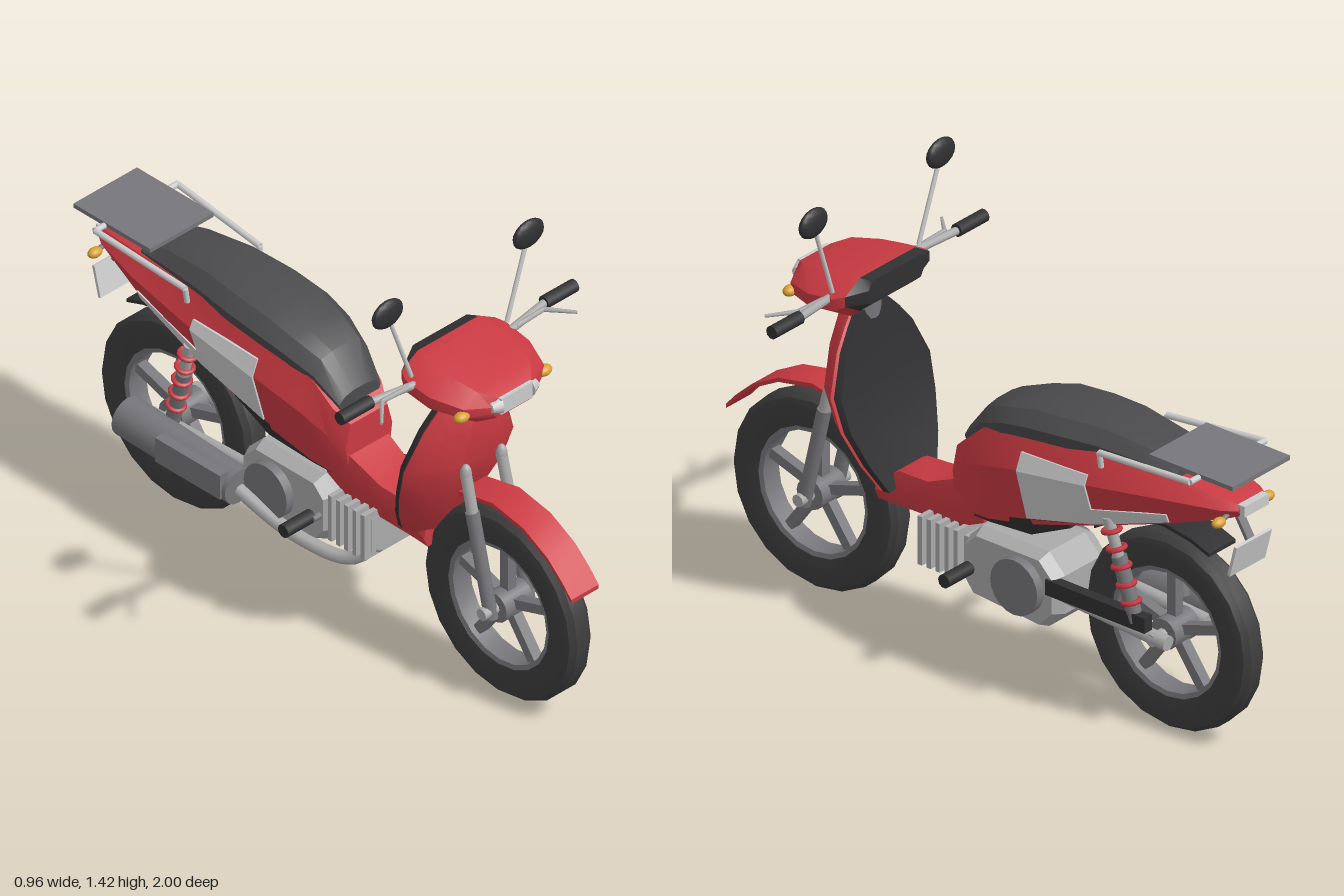
import * as THREE from 'three';
import { toCreasedNormals } from 'three/addons/utils/BufferGeometryUtils.js';

const V = (x, y, z) => new THREE.Vector3(x, y, z);
const mat = (c) => new THREE.MeshStandardMaterial({ color: c, side: THREE.DoubleSide });
const RED = mat(0xcb3a42), BLACK = mat(0x303032), SEAT = mat(0x4b4b4d), TYRE = mat(0x3d3d3e);
const DARK = mat(0x77777b), STEEL = mat(0xaaaaaa), LIGHT = mat(0xcccccc), AMBER = mat(0xd9a032);

// Turns a closed geometry outward and creases its normals
function finish(geo, crease = 0.55) {
  const g = geo.index ? geo.toNonIndexed() : geo, p = g.attributes.position;
  const a = V(), b = V(), c = V();
  let vol = 0;
  for (let i = 0; i < p.count; i += 3) {
    a.fromBufferAttribute(p, i); b.fromBufferAttribute(p, i + 1); c.fromBufferAttribute(p, i + 2);
    vol += a.dot(b.clone().cross(c));
  }
  if (vol < 0) for (let i = 0; i < p.count; i += 3) {
    b.fromBufferAttribute(p, i + 1); c.fromBufferAttribute(p, i + 2);
    p.setXYZ(i + 1, c.x, c.y, c.z); p.setXYZ(i + 2, b.x, b.y, b.z);
  }
  return toCreasedNormals(g, crease);
}

// Skin through rings of equal point count, capped at both ends
function loft(rings) {
  const n = rings[0].length, pos = [], idx = [];
  rings.forEach((r) => r.forEach((v) => pos.push(v.x, v.y, v.z)));
  for (let i = 0; i < rings.length - 1; i++) for (let j = 0; j < n; j++) {
    const a = i * n + j, b = i * n + (j + 1) % n;
    idx.push(a, b, a + n, b, b + n, a + n);
  }
  const e = (rings.length - 1) * n;
  for (let j = 1; j < n - 1; j++) idx.push(0, j + 1, j, e, e + j, e + j + 1);
  const g = new THREE.BufferGeometry();
  g.setAttribute('position', new THREE.Float32BufferAttribute(pos, 3));
  g.setIndex(idx);
  return finish(g);
}
// Ring from the half outline [x, other], mirrored across x = 0
const mirrorRing = (half, f) => [...half, ...half.slice().reverse().map(([x, o]) => [-x, o])].map(([x, o]) => f(x, o));

export function createModel() {
  const root = new THREE.Group();
  const add = (name, geo, m, parent = root) => {
    const mesh = new THREE.Mesh(geo, m);
    mesh.name = name;
    parent.add(mesh);
    return mesh;
  };
  const box = (name, m, w, h, d, x, y, z, parent) => {
    const b = add(name, new THREE.BoxGeometry(w, h, d), m, parent);
    b.position.set(x, y, z);
    return b;
  };
  const rod = (name, m, p, q, r, r2 = r, sides = 10, parent = root) => {
    const d = q.clone().sub(p);
    const c = add(name, new THREE.CylinderGeometry(r2, r, d.length(), sides), m, parent);
    c.position.copy(p).add(q).multiplyScalar(0.5);
    c.quaternion.setFromUnitVectors(V(0, 1, 0), d.normalize());
    return c;
  };
  const ball = (name, m, x, y, z, sx, sy, sz) => {
    const s = add(name, new THREE.SphereGeometry(1, 14, 10), m);
    s.position.set(x, y, z);
    s.scale.set(sx, sy, sz);
  };
  const band = (name, m, path, w, t) => add(name, loft(path.map(([z, y]) =>
    mirrorRing([[w, y - t], [w, y]], (x, o) => V(x, o, z)))), m);

  // Wheels: tyre, rim, hub and five spokes
  const tyre = [[0.21, -0.04], [0.27, -0.05], [0.3, -0.043], [0.315, -0.025], [0.315, 0.025], [0.3, 0.043], [0.27, 0.05], [0.21, 0.04], [0.21, -0.04]];
  const rim = [[0.195, -0.035], [0.22, -0.04], [0.22, 0.04], [0.195, 0.035], [0.195, -0.035]];
  const ringGeo = (pts) => finish(new THREE.LatheGeometry(pts.map(([r, h]) => new THREE.Vector2(r, h)), 20).rotateZ(Math.PI / 2));
  for (const [name, z] of [['frontWheel', 0.68], ['rearWheel', -0.67]]) {
    const wheel = new THREE.Group();
    wheel.name = name;
    wheel.position.set(0, 0.315, z);
    root.add(wheel);
    add('tyre', ringGeo(tyre), TYRE, wheel);
    add('rim', ringGeo(rim), DARK, wheel);
    rod('hub', DARK, V(-0.055, 0, 0), V(0.055, 0, 0), 0.05, 0.05, 14, wheel);
    rod('axle', STEEL, V(-0.11, 0, 0), V(0.11, 0, 0), 0.02, 0.02, 10, wheel);
    for (let i = 0; i < 5; i++) {
      const a = Math.PI / 2 + i * Math.PI * 0.4;
      const s = box('spoke', DARK, 0.035, 0.17, 0.032, 0, Math.sin(a) * 0.12, Math.cos(a) * 0.12, wheel);
      s.rotation.x = Math.PI / 2 - a;
    }
  }

  // Mudguards
  band('frontFender', RED, [[1.0, 0.505], [0.96, 0.55], [0.9, 0.605], [0.8, 0.66], [0.67, 0.685], [0.53, 0.655]], 0.056, 0.014);
  band('rearFender', BLACK, [[-0.41, 0.59], [-0.5, 0.645], [-0.58, 0.68], [-0.68, 0.687], [-0.78, 0.67], [-0.85, 0.645]], 0.06, 0.012);

  // Leg shield, rows of [y, half width, front z, back z], with a dark inner panel
  const shield = [[0.985, 0.075, 0.565, 0.48], [0.95, 0.11, 0.58, 0.472], [0.89, 0.16, 0.58, 0.46], [0.77, 0.216, 0.57, 0.437],
    [0.66, 0.205, 0.53, 0.407], [0.55, 0.165, 0.475, 0.365], [0.46, 0.115, 0.42, 0.33]];
  add('legShield', loft(shield.map(([y, w, f, b]) =>
    mirrorRing([[w * 0.9, b + 0.018], [w, b + 0.028], [w * 0.8, (f + b) / 2 + 0.022], [w * 0.36, f]], (x, z) => V(x, y, z)))), RED);
  add('innerPanel', loft(shield.map(([y, w, , b]) =>
    mirrorRing([[w * 0.55, b + 0.004], [w * 0.93, b], [w * 0.97, b + 0.02]], (x, z) => V(x, y, z)))), BLACK);

  // Step-through spine, rows of [z, top, bottom, half width]
  add('spine', loft([[0.41, 0.47, 0.4, 0.08], [0.33, 0.515, 0.4, 0.075], [0.22, 0.52, 0.405, 0.08], [0.09, 0.58, 0.42, 0.095], [0.0, 0.62, 0.46, 0.09]]
    .map(([z, t, b, w]) => mirrorRing([[w * 0.8, b], [w, (t + b) / 2], [w * 0.85, t]], (x, y) => V(x, y, z)))), RED);

  // Rear body, rows of [z, top, middle, bottom, top width, middle width, bottom width]
  const body = [[0.1, 0.685, 0.61, 0.5, 0.075, 0.095, 0.08], [0.05, 0.73, 0.64, 0.49, 0.1, 0.12, 0.09], [-0.04, 0.81, 0.7, 0.5, 0.11, 0.152, 0.1],
    [-0.21, 0.855, 0.745, 0.545, 0.125, 0.17, 0.115], [-0.47, 0.88, 0.785, 0.632, 0.125, 0.17, 0.12], [-0.74, 0.875, 0.82, 0.725, 0.1, 0.145, 0.105],
    [-0.92, 0.853, 0.825, 0.788, 0.07, 0.095, 0.07], [-0.965, 0.84, 0.825, 0.805, 0.05, 0.065, 0.05]];
  add('rearBody', loft(body.map(([z, t, m, b, wt, wm, wb]) =>
    mirrorRing([[wb, b], [wm, m], [wt, t]], (x, y) => V(x, y, z)))), RED);
  add('bodyUnderside', loft([[0.09, 0.51, 0.473, 0.08], [-0.04, 0.515, 0.485, 0.1], [-0.21, 0.565, 0.508, 0.118], [-0.36, 0.605, 0.58, 0.118]]
    .map(([z, t, b, w]) => mirrorRing([[w * 0.9, b], [w + 0.003, t]], (x, y) => V(x, y, z)))), BLACK);

  // Side panels laid on the body skin at two of its rows
  const skin = (row, y, s) => {
    const [z, t, m, b, wt, wm, wb] = row;
    const x = y > m ? wm + (wt - wm) * (y - m) / (t - m) : wb + (wm - wb) * (y - b) / (m - b);
    return [s * x, y, z];
  };
  const patch = (name, rowA, ysA, rowB, ysB, s) => {
    const rings = [0.006, -0.01].map((o) => [...ysA.map((y) => skin(rowA, y, s)), ...ysB.map((y) => skin(rowB, y, s)).reverse()]
      .map(([x, y, z]) => V(x + s * o, y, z)));
    add(name, loft(rings), LIGHT);
  };
  for (const s of [-1, 1]) {
    const [A, B, C] = body.slice(3, 6);
    patch('sidePanelUpper', A, [0.745, 0.8], B, [0.785, 0.815], s);
    patch('sidePanelLower', A, [0.57, 0.745], B, [0.638, 0.785], s);
    patch('sideStrip', B, [0.638, 0.695], C, [0.732, 0.762], s);
  }

  // Seat, rows of [z, top, bottom, half width]
  add('seat', loft([[0.062, 0.765, 0.715, 0.085], [-0.02, 0.866, 0.77, 0.11], [-0.12, 0.903, 0.82, 0.135], [-0.22, 0.932, 0.84, 0.146], [-0.35, 0.945, 0.855, 0.145],
    [-0.48, 0.952, 0.86, 0.13], [-0.65, 0.935, 0.862, 0.11], [-0.755, 0.91, 0.86, 0.095]]
    .map(([z, t, b, w]) => mirrorRing([[w * 0.92, b], [w, b + (t - b) * 0.45], [w * 0.72, t - 0.008], [w * 0.3, t]], (x, y) => V(x, y, z)))), SEAT);

  // Luggage rack
  box('rackPlate', DARK, 0.26, 0.014, 0.32, 0, 0.937, -0.84);
  rod('rackCrossBar', LIGHT, V(-0.17, 0.932, -0.87), V(0.17, 0.932, -0.87), 0.01);

  // Tail lamp and number plate
  box('tailLamp', LIGHT, 0.11, 0.035, 0.035, 0, 0.825, -0.965);
  box('plateBracket', DARK, 0.03, 0.1, 0.012, 0, 0.75, -0.93).rotation.x = 0.55;
  box('numberPlate', LIGHT, 0.16, 0.105, 0.01, 0, 0.662, -0.955).rotation.x = -0.25;

  // Handlebar cowl, rows of [z, top, bottom, widest half width, top half width]
  const cowl = [[0.705, 1.085, 1.015, 0.09, 0.07], [0.66, 1.105, 0.998, 0.165, 0.11], [0.56, 1.125, 0.997, 0.205, 0.13], [0.46, 1.142, 1.01, 0.207, 0.13], [0.43, 1.144, 1.035, 0.19, 0.125], [0.395, 1.138, 1.065, 0.125, 0.11]];
  const cowlRing = ([z, t, b, w, wt]) => mirrorRing([[wt, b], [w, b + (t - b) * 0.35], [w, b + (t - b) * 0.65], [wt, t]], (x, y) => V(x, y, z));
  add('handlebarCowl', loft(cowl.slice(0, 5).map(cowlRing)), RED);
  add('dashboard', loft(cowl.slice(4).map(cowlRing)), BLACK);
  rod('steeringNeck', DARK, V(0, 0.95, 0.53), V(0, 1.03, 0.53), 0.06);
  box('headlamp', LIGHT, 0.13, 0.055, 0.03, 0, 1.057, 0.703);
  for (const s of [-1, 1]) rod('headlampEnd', LIGHT, V(s * 0.06, 1.057, 0.703), V(s * 0.092, 1.057, 0.7), 0.028, 0.016, 8);

  // Engine: finned barrel, case and round covers
  box('barrel', STEEL, 0.19, 0.12, 0.2, 0, 0.35, 0.11);
  for (let i = 0; i < 5; i++) box('fin', STEEL, 0.25, 0.16, 0.016, 0, 0.355, 0.2 - i * 0.034);
  const outline = [[0.0, 0.25], [0.03, 0.29], [0.03, 0.4], [-0.01, 0.44], [-0.25, 0.44], [-0.3, 0.39], [-0.3, 0.28], [-0.25, 0.23]];
  const caseGeo = new THREE.ExtrudeGeometry(new THREE.Shape(outline.map(([z, y]) => new THREE.Vector2(z, y))),
    { depth: 0.16, bevelSize: 0.018, bevelThickness: 0.04, bevelSegments: 1 });
  add('engineCase', finish(caseGeo.translate(0, 0, -0.08).rotateY(-Math.PI / 2), 0.3), STEEL);
  rod('engineCover', DARK, V(-0.15, 0.34, -0.18), V(0.15, 0.34, -0.18), 0.09, 0.09, 20);
  rod('pegBar', DARK, V(-0.15, 0.34, 0.015), V(0.15, 0.34, 0.015), 0.012);

  // Exhaust on the right, chain case on the left
  add('exhaustPipe', new THREE.TubeGeometry(new THREE.CatmullRomCurve3([V(-0.06, 0.3, 0.2), V(-0.1, 0.23, 0.12), V(-0.14, 0.24, -0.08), V(-0.165, 0.31, -0.29)]), 16, 0.022, 8), STEEL);
  rod('muffler', DARK, V(-0.168, 0.32, -0.27), V(-0.165, 0.335, -0.74), 0.058, 0.064, 16);
  rod('mufflerTip', BLACK, V(-0.165, 0.335, -0.73), V(-0.165, 0.335, -0.765), 0.025);
  box('heatShield', DARK, 0.035, 0.085, 0.27, -0.215, 0.34, -0.42);
  box('chainCase', BLACK, 0.035, 0.05, 0.38, 0.11, 0.367, -0.47);

  // Paired parts
  for (const s of [-1, 1]) {
    rod('forkLower', DARK, V(s * 0.075, 0.29, 0.686), V(s * 0.075, 0.63, 0.607), 0.022);
    rod('forkUpper', STEEL, V(s * 0.075, 0.6, 0.614), V(s * 0.073, 0.75, 0.578), 0.018);
    ball('forkCap', STEEL, s * 0.073, 0.75, 0.578, 0.018, 0.035, 0.018);
    rod('swingArm', STEEL, V(s * 0.095, 0.345, -0.26), V(s * 0.09, 0.315, -0.72), 0.018, 0.024);
    rod('shockTop', STEEL, V(s * 0.125, 0.68, -0.52), V(s * 0.115, 0.53, -0.56), 0.018);
    rod('shockBottom', DARK, V(s * 0.115, 0.56, -0.553), V(s * 0.105, 0.36, -0.61), 0.024);
    for (let i = 0; i < 5; i++) {
      const t = i / 4;
      const coil = add('springCoil', new THREE.TorusGeometry(0.026, 0.008, 6, 12), RED);
      coil.position.set(s * (0.122 - 0.014 * t), 0.64 - 0.22 * t, -0.531 - 0.063 * t);
      coil.rotation.x = Math.PI / 2 + 0.27;
    }
    rod('footPeg', BLACK, V(s * 0.14, 0.34, 0), V(s * 0.253, 0.34, 0), 0.022);
    rod('rackSideBar', LIGHT, V(s * 0.153, 0.9, -0.51), V(s * 0.168, 0.932, -0.87), 0.01);
    rod('rackStay', LIGHT, V(s * 0.153, 0.9, -0.51), V(s * 0.145, 0.85, -0.51), 0.009);
    rod('handlebar', STEEL, V(s * 0.18, 1.085, 0.49), V(s * 0.37, 1.093, 0.465), 0.013);
    rod('grip', BLACK, V(s * 0.355, 1.094, 0.466), V(s * 0.48, 1.094, 0.466), 0.021);
    rod('lever', STEEL, V(s * 0.22, 1.09, 0.49), V(s * 0.33, 1.095, 0.49), 0.009, 0.008, 6);
    rod('leverBlade', STEEL, V(s * 0.33, 1.095, 0.49), V(s * 0.4, 1.085, 0.56), 0.008, 0.005, 6);
    rod('mirrorStem', LIGHT, V(s * 0.195, 1.11, 0.475), V(s * 0.278, 1.345, 0.47), 0.007);
    ball('mirror', BLACK, s * 0.288, 1.377, 0.47, 0.062, 0.047, 0.02);
    ball('frontIndicator', AMBER, s * 0.168, 1.043, 0.658, 0.028, 0.017, 0.02);
    rod('rearIndicatorStalk', DARK, V(s * 0.05, 0.81, -0.93), V(s * 0.1, 0.797, -0.93), 0.008);
    ball('rearIndicator', AMBER, s * 0.11, 0.795, -0.93, 0.026, 0.016, 0.018);
  }
  return root;
}
